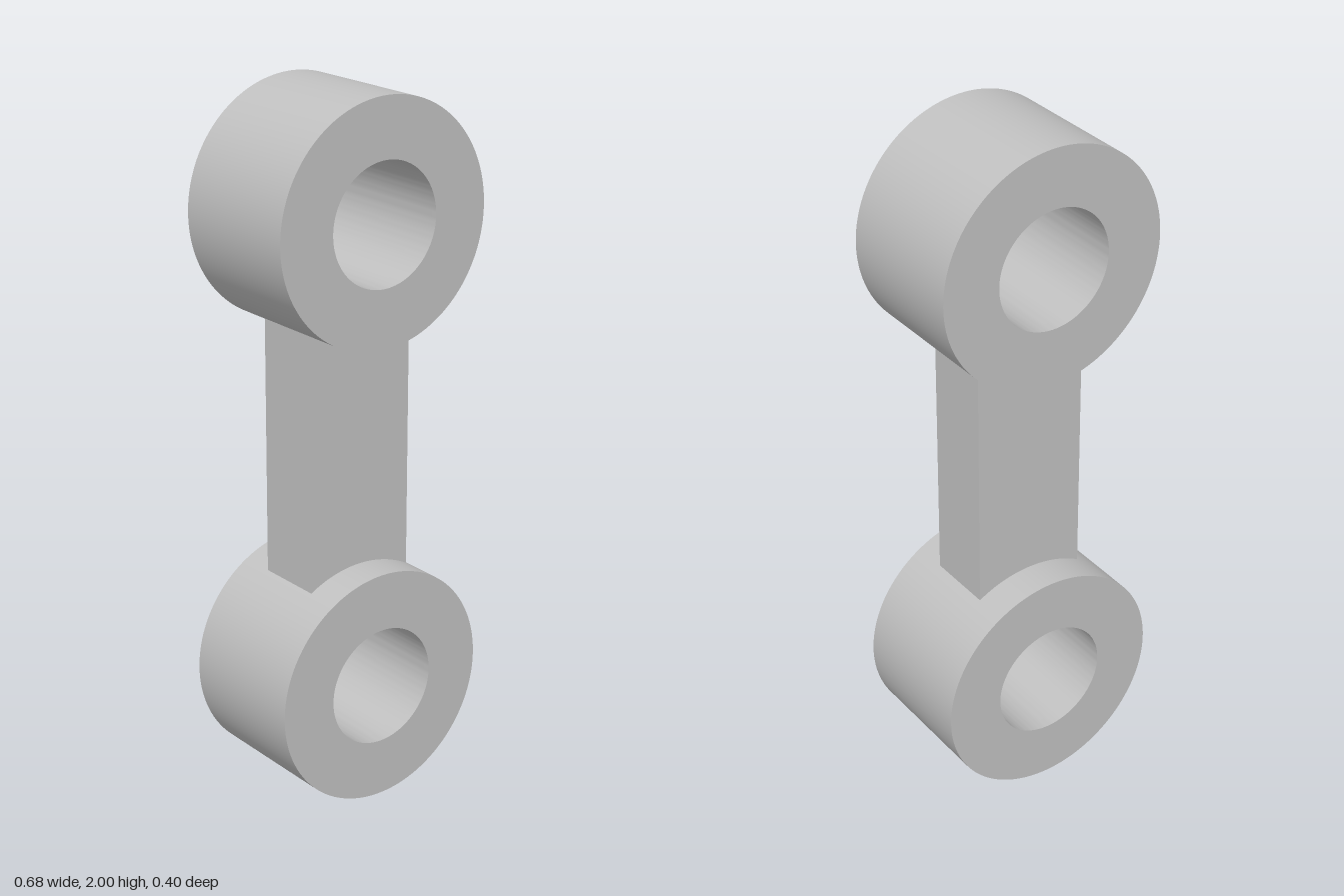
import * as THREE from 'three';
import { toCreasedNormals } from 'three/addons/utils/BufferGeometryUtils.js';

const OUTER = 0.338, INNER = 0.171, DEPTH = 0.404;

// Thick ring with a through bore along z
function makeEye(material, name, y) {
  const shape = new THREE.Shape().absarc(0, 0, OUTER, 0, Math.PI * 2, false);
  shape.holes.push(new THREE.Path().absarc(0, 0, INNER, 0, Math.PI * 2, true));
  const geometry = new THREE.ExtrudeGeometry(shape, { depth: DEPTH, bevelEnabled: false, curveSegments: 72 });
  geometry.translate(0, 0, -DEPTH / 2);
  const eye = new THREE.Mesh(toCreasedNormals(geometry, 0.6), material);
  eye.name = name;
  eye.position.y = y;
  return eye;
}

export function createModel() {
  const group = new THREE.Group();
  group.name = 'connectingLink';
  const steel = new THREE.MeshStandardMaterial({ color: 0xc0c0c0 });
  steel.name = 'light grey';

  group.add(makeEye(steel, 'lowerEye', OUTER));
  group.add(makeEye(steel, 'upperEye', 2 - OUTER));

  // Flat bar, its ends buried in the ring walls
  const bar = new THREE.Mesh(new THREE.BoxGeometry(0.336, 0.8, 0.2), steel);
  bar.name = 'shank';
  bar.position.y = 1;
  group.add(bar);

  return group;
}
